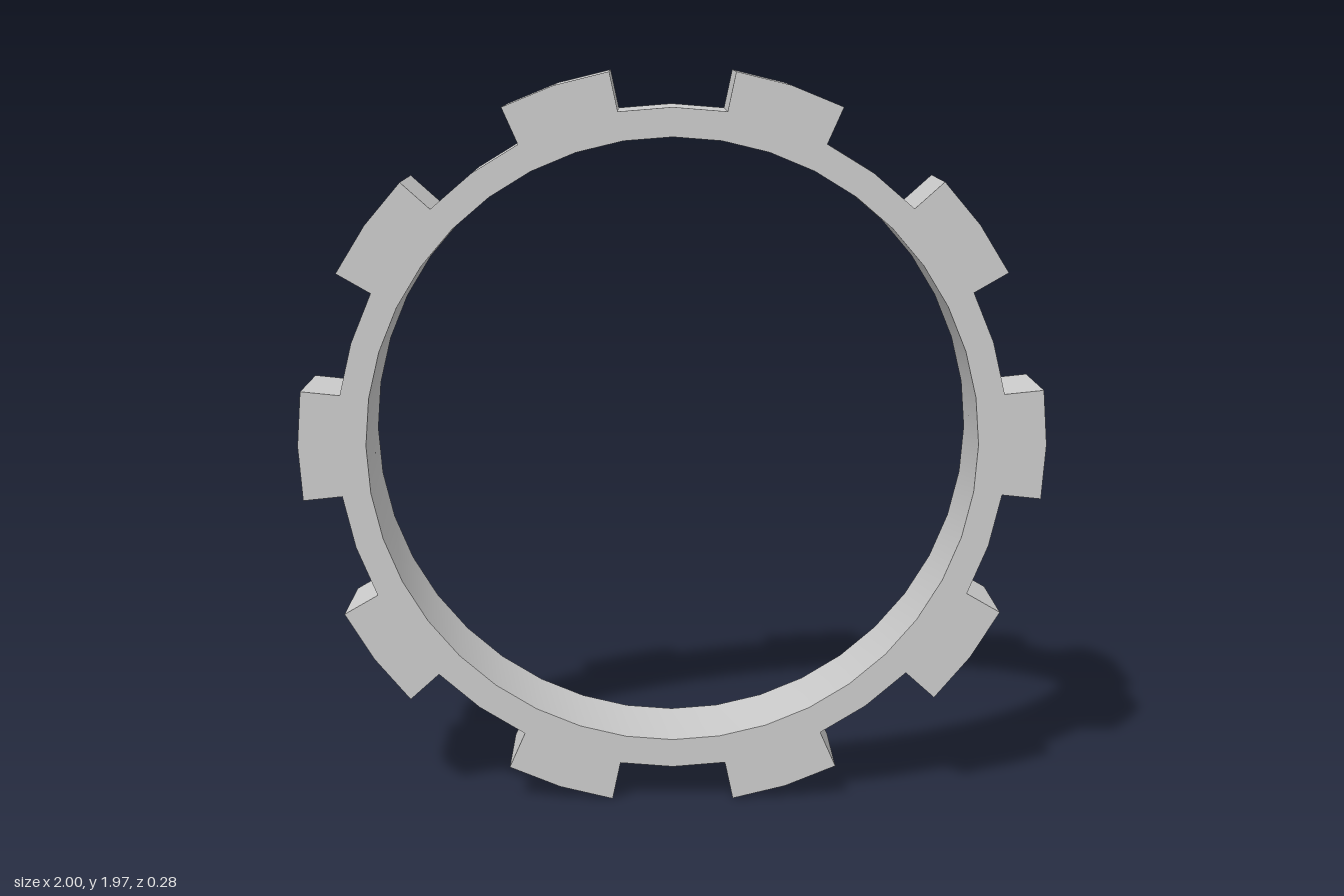
import * as THREE from 'three';
import { toCreasedNormals } from 'three/addons/utils/BufferGeometryUtils.js';

const TEETH = 10;
const TIP_R = 1.0, ROOT_R = 0.895, BORE_R = 0.818;
const DEPTH = 0.285;
const CENTRE_Y = 0.987;

// point on a circle, angle in degrees
const polar = (r, deg) => {
  const a = THREE.MathUtils.degToRad(deg);
  return new THREE.Vector2(r * Math.cos(a), r * Math.sin(a));
};

export function createModel() {
  // outer outline: each tooth followed by the gap after it
  const outline = [];
  for (let i = 0; i < TEETH; i++) {
    const a = (i * 360) / TEETH;
    outline.push(polar(ROOT_R, a - 8.8));
    for (const d of [-8.5, 0, 8.5]) outline.push(polar(TIP_R, a + d));
    outline.push(polar(ROOT_R, a + 8.8), polar(ROOT_R, a + 18));
  }
  const shape = new THREE.Shape(outline);

  // round bore
  const bore = [];
  for (let i = 0; i < 40; i++) bore.push(polar(BORE_R, -i * 9));
  shape.holes.push(new THREE.Path(bore));

  const extruded = new THREE.ExtrudeGeometry(shape, { depth: DEPTH, bevelEnabled: false });
  extruded.translate(0, CENTRE_Y, -DEPTH / 2);

  // smooth arcs, sharp tooth edges
  const ring = new THREE.Mesh(
    toCreasedNormals(extruded, Math.PI / 6),
    new THREE.MeshStandardMaterial({ color: 0xcccccc })
  );
  ring.name = 'toothedRing';

  const group = new THREE.Group();
  group.name = 'gearRing';
  group.add(ring);
  return group;
}
